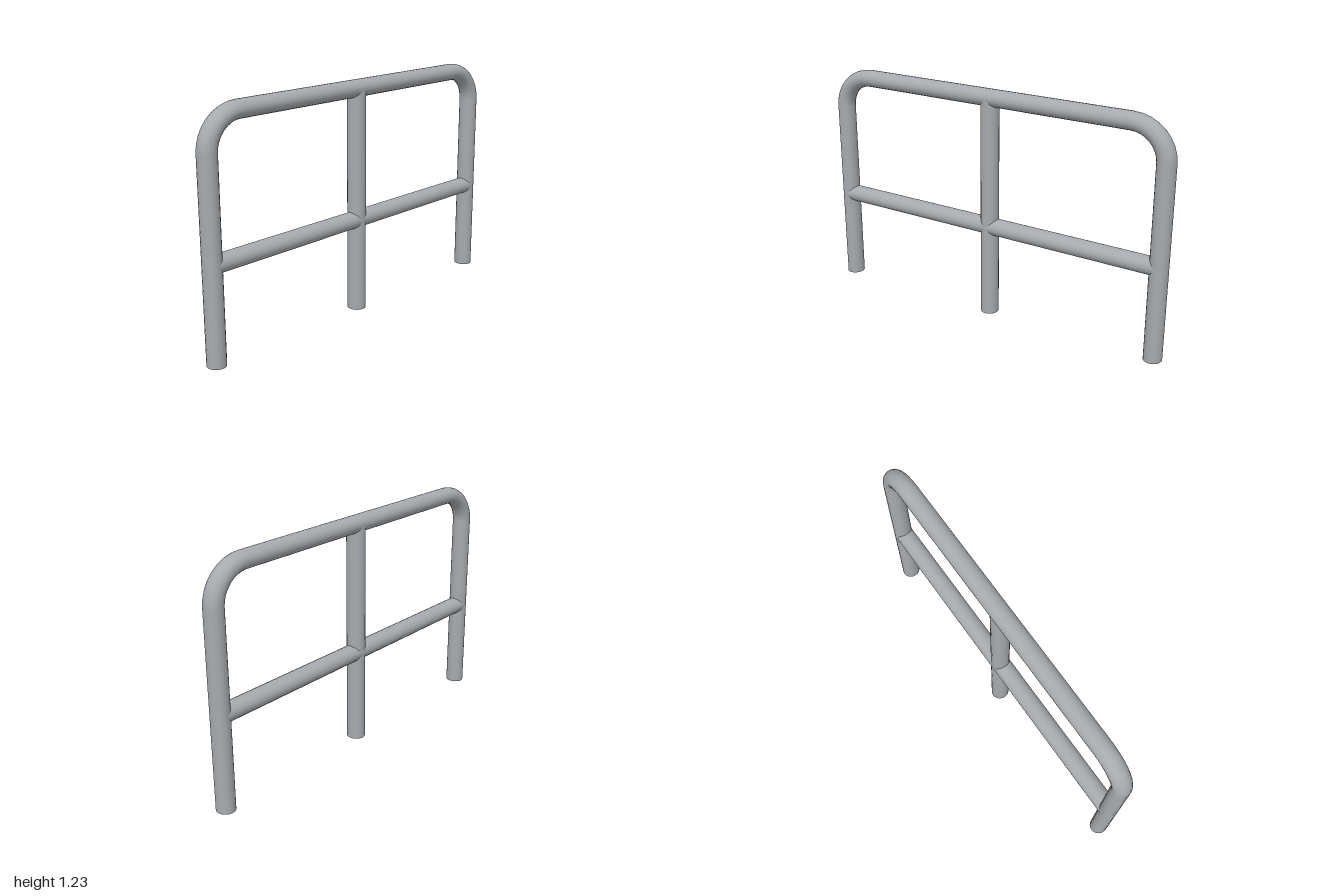
import * as THREE from 'three';

export function createModel() {
  const group = new THREE.Group();
  const steel = new THREE.MeshStandardMaterial({ color: 0xa6aaae });
  steel.name = 'grey steel';

  // pipes are slightly oval: full radius across x, thinner in y and z
  const R = 0.05, SY = 0.9, SZ = 0.94;
  const BEND = 0.193, SIDES = 20;
  const LEG_Z = 1 - R * SZ, TOP_Y = 1.23 - R * SY;
  const bendY = TOP_Y - BEND * SY, bendZ = LEG_Z - BEND * SZ;

  function add(name, geometry, y, z) {
    geometry.scale(1, SY, SZ);
    const mesh = new THREE.Mesh(geometry, steel);
    mesh.name = name;
    mesh.position.set(0, y, z);
    group.add(mesh);
  }
  const post = (name, height, z) =>
    add(name, new THREE.CylinderGeometry(R, R, height / SY, SIDES), height / 2, z);
  const bar = (name, length, y) =>
    add(name, new THREE.CylinderGeometry(R, R, length / SZ, SIDES, 1, true).rotateX(Math.PI / 2), y, 0);

  // outer legs with quarter-circle bends into the top rail
  for (const side of [1, -1]) {
    const end = side > 0 ? 'front' : 'back';
    post(end + 'Leg', bendY, side * LEG_Z);
    const bend = new THREE.TorusGeometry(BEND, R, SIDES, 8, Math.PI / 2);
    bend.rotateY(-side * Math.PI / 2);
    add(end + 'Bend', bend, bendY, side * bendZ);
  }

  // centre post and horizontal rails
  post('centrePost', TOP_Y, 0);
  bar('topRail', 2 * bendZ, TOP_Y);
  bar('middleRail', 2 * LEG_Z, 0.495);
  return group;
}
